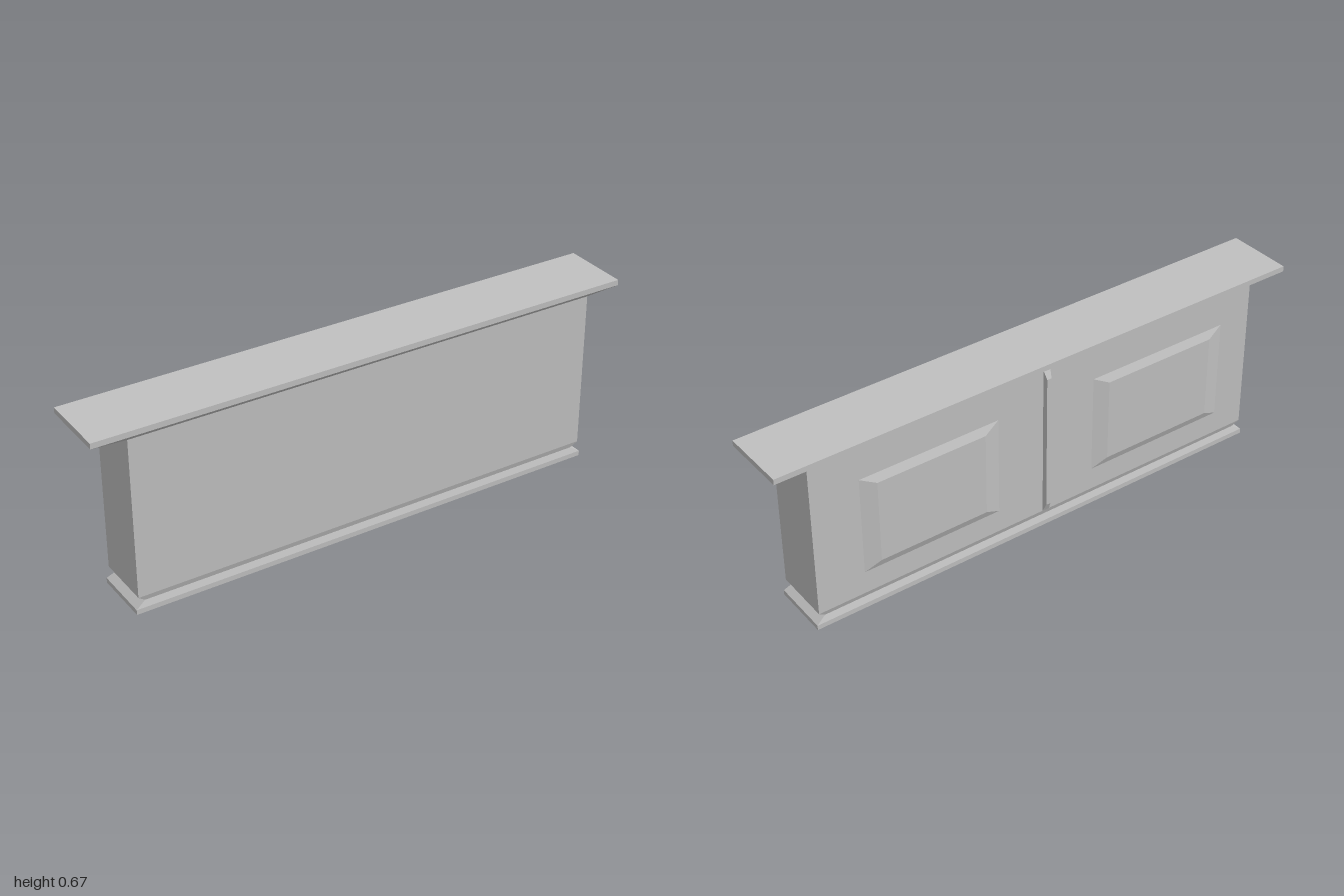
import * as THREE from 'three';

// Closed solid lofted through four-cornered rings, each anticlockwise seen from its far end
function loft(rings) {
  const pos = [];
  const quad = (a, b, c, d) => [a, b, c, a, c, d].forEach((p) => pos.push(...p));
  for (let i = 0; i < rings.length - 1; i++) {
    const lo = rings[i], hi = rings[i + 1];
    for (let k = 0; k < 4; k++) {
      const n = (k + 1) % 4;
      quad(lo[k], lo[n], hi[n], hi[k]);
    }
  }
  const [a, b, c, d] = rings[0];
  quad(d, c, b, a);
  quad(...rings[rings.length - 1]);
  const geometry = new THREE.BufferGeometry();
  geometry.setAttribute('position', new THREE.Float32BufferAttribute(pos, 3));
  geometry.computeVertexNormals();
  return geometry;
}

// Horizontal ring; the back and front edges may have different heights
const level = (x, zBack, zFront, yFront, yBack = yFront) => [
  [-x, yFront, zFront], [x, yFront, zFront], [x, yBack, zBack], [-x, yBack, zBack],
];

// Upright ring facing the back
const upright = (x0, x1, y0, y1, z) => [[x1, y0, z], [x0, y0, z], [x0, y1, z], [x1, y1, z]];

// Bevelled plate standing out from the back wall
function raised(x0, x1, y0, y1, insetX, insetY, z) {
  return loft([
    upright(x0, x1, y0, y1, -0.093),
    upright(x0 + insetX, x1 - insetX, y0 + insetY, y1 - insetY, z),
  ]);
}

export function createModel() {
  const group = new THREE.Group();
  const grey = new THREE.MeshStandardMaterial({ color: 0xc0c0c0 });
  grey.name = 'light grey';
  const add = (name, geometry) => {
    const mesh = new THREE.Mesh(geometry, grey);
    mesh.name = name;
    group.add(mesh);
  };

  // Plinth narrowing to a neck
  add('plinth', loft([
    level(0.885, -0.095, 0.115, 0),
    level(0.885, -0.095, 0.115, 0.018),
    level(0.85, -0.086, 0.107, 0.04),
  ]));

  // Main body with a chamfered lower edge
  add('body', loft([
    level(0.85, -0.086, 0.107, 0.04),
    level(0.875, -0.093, 0.113, 0.06),
    level(0.875, -0.093, 0.113, 0.635),
  ]));

  // Slightly tilted counter top with a flared underside
  add('counterTop', loft([
    level(0.875, -0.093, 0.113, 0.635),
    level(1, -0.121, 0.123, 0.648, 0.653),
    level(1, -0.121, 0.123, 0.668, 0.673),
  ]));

  // Raised panels and the rib between them on the back
  add('leftPanel', raised(0.178, 0.7, 0.145, 0.515, 0.058, 0.03, -0.105));
  add('rightPanel', raised(-0.753, -0.205, 0.145, 0.515, 0.058, 0.03, -0.105));
  add('centreRib', raised(-0.027, 0, 0.06, 0.635, 0.005, 0.032, -0.107));

  return group;
}
